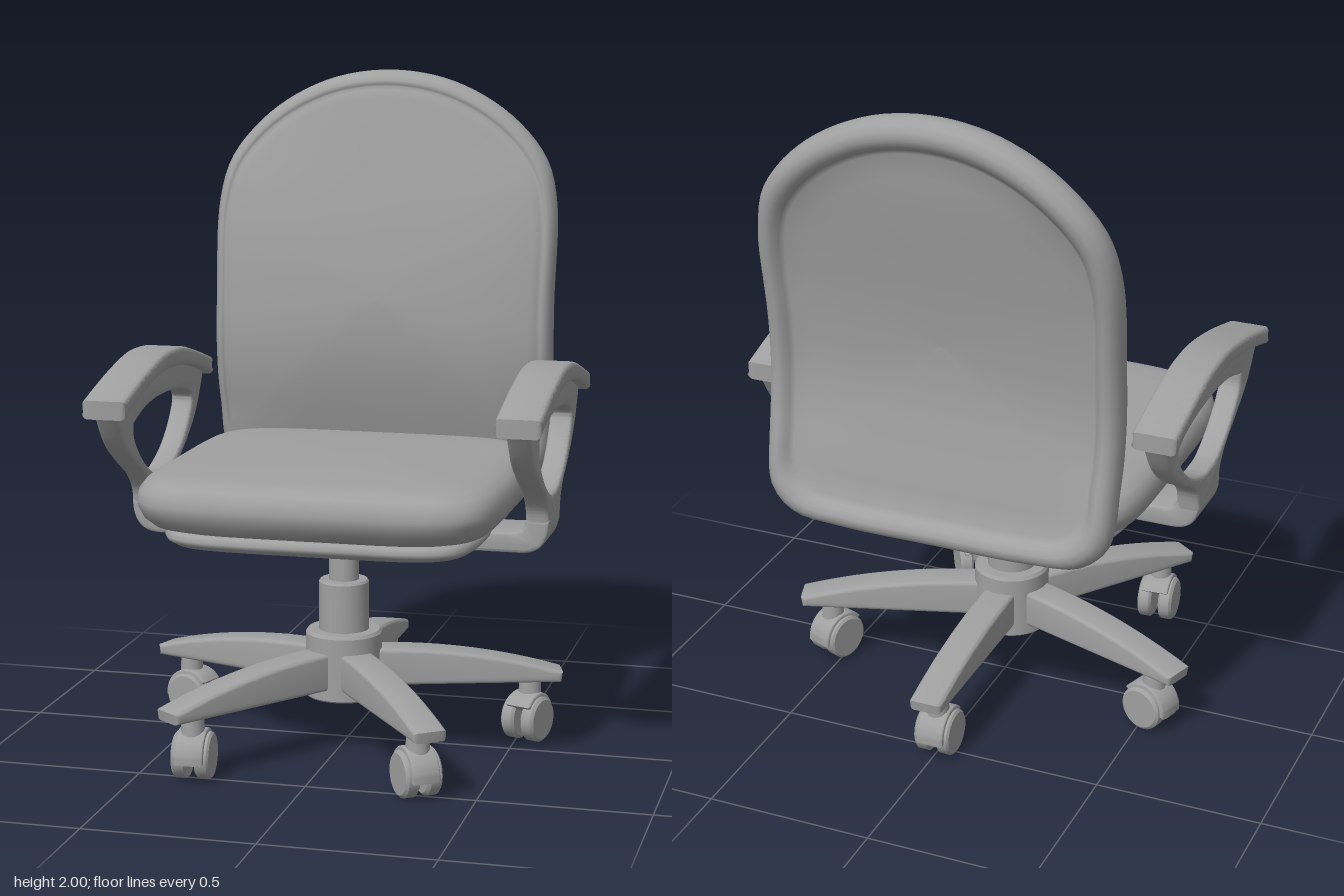
import * as THREE from 'three';
import { toCreasedNormals } from 'three/addons/utils/BufferGeometryUtils.js';

const grey = new THREE.MeshStandardMaterial({ color: 0xa0a0a0 });
grey.name = 'plain grey';

const V2 = (p) => new THREE.Vector2(p[0], p[1]);

function part(name, geometry, parent) {
  const mesh = new THREE.Mesh(geometry, grey);
  mesh.name = name;
  parent.add(mesh);
  return mesh;
}

// Closed pad: scaled copies of an outline stacked along z, rows are [scale, z], back to front
function padGeometry(outline, rows, cy = 0, bend = () => 0) {
  const n = outline.length, pos = [], idx = [];
  for (const [s, z] of rows) {
    for (const p of outline) {
      const y = cy + (p.y - cy) * s;
      pos.push(p.x * s, y, z + bend(y));
    }
  }
  for (let i = 0; i < rows.length - 1; i++) {
    for (let j = 0; j < n; j++) {
      const a = i * n + j, b = i * n + (j + 1) % n;
      idx.push(a, b, b + n, a, b + n, a + n);
    }
  }
  const g = new THREE.BufferGeometry();
  g.setAttribute('position', new THREE.Float32BufferAttribute(pos, 3));
  g.setIndex(idx);
  g.computeVertexNormals();
  return g;
}

// Rounded square outline
function superellipse(rx, ry, power, n = 96) {
  return Array.from({ length: n }, (_, i) => {
    const t = (i / n) * Math.PI * 2, c = Math.cos(t), s = Math.sin(t);
    return new THREE.Vector2(
      rx * Math.sign(c) * Math.abs(c) ** (2 / power),
      ry * Math.sign(s) * Math.abs(s) ** (2 / power));
  });
}

// Extrusion centred on z = 0 with a small rounded edge inside the given outline
function slab(shape, depth, bevel) {
  const g = new THREE.ExtrudeGeometry(shape, {
    depth: depth - 2 * bevel, bevelEnabled: true, bevelThickness: bevel,
    bevelSize: bevel, bevelOffset: -bevel, bevelSegments: 3, curveSegments: 16,
  });
  g.translate(0, 0, bevel - depth / 2);
  return toCreasedNormals(g, 0.6);
}

function buildSeat(chair) {
  const cushion = padGeometry(superellipse(0.535, 0.513, 5.5), [
    [0.001, 0.718], [0.5, 0.718], [0.84, 0.722], [0.92, 0.735], [0.97, 0.76], [0.995, 0.79],
    [1, 0.81], [0.99, 0.838], [0.96, 0.86], [0.91, 0.875], [0.82, 0.884], [0.6, 0.891],
    [0.3, 0.894], [0.001, 0.895]]);
  cushion.rotateX(-Math.PI / 2).translate(0, 0, 0.062);
  part('seatCushion', cushion, chair);

  const pan = padGeometry(superellipse(0.465, 0.44, 5.5), [
    [0.001, 0.664], [0.86, 0.666], [0.95, 0.675], [0.99, 0.688], [1, 0.7],
    [0.985, 0.715], [0.94, 0.73], [0.001, 0.73]]);
  pan.rotateX(-Math.PI / 2).translate(0, 0, 0.065);
  part('seatPan', pan, chair);
}

function buildBackrest(chair) {
  const half = [[0.3, 0.704], [0.45, 0.722], [0.522, 0.79], [0.538, 0.95], [0.54, 1.3],
    [0.538, 1.6], [0.5, 1.735], [0.38, 1.87], [0.2, 1.968]];
  const loop = [[0, 0.702], ...half, [0, 2], ...half.map(([x, y]) => [-x, y]).reverse()];
  const outline = new THREE.CatmullRomCurve3(
    loop.map(([x, y]) => new THREE.Vector3(x, y, 0)), true).getSpacedPoints(120).slice(0, 120);

  // S-shaped side profile: z of the pad's middle at height y
  const spine = new THREE.SplineCurve([[0.7, -0.505], [0.9, -0.478], [1.05, -0.447], [1.2, -0.436],
    [1.4, -0.453], [1.6, -0.486], [1.8, -0.522], [2, -0.535]].map(V2)).getPoints(140);
  const bend = (y) => {
    let i = 1;
    while (i < spine.length - 1 && spine[i].x < y) i++;
    const a = spine[i - 1], b = spine[i];
    return a.y + (b.y - a.y) * THREE.MathUtils.clamp((y - a.x) / (b.x - a.x), 0, 1);
  };

  // Recessed rear panel, rolled rim, then the bulging front panel
  part('backrest', padGeometry(outline, [
    [0.001, -0.02], [0.2, -0.02], [0.4, -0.02], [0.6, -0.02], [0.75, -0.02], [0.85, -0.022],
    [0.872, -0.035], [0.89, -0.05], [0.92, -0.059], [0.95, -0.056], [0.977, -0.043],
    [0.994, -0.023], [1, 0], [0.994, 0.023], [0.977, 0.043], [0.955, 0.053], [0.938, 0.052],
    [0.93, 0.046], [0.915, 0.054], [0.88, 0.062], [0.75, 0.077], [0.6, 0.088],
    [0.4, 0.096], [0.2, 0.1], [0.001, 0.101]], 1.3, bend), chair);
}

function buildArms(chair) {
  // Side outline of the arm loop, drawn as (z, y)
  const loop = new THREE.Shape();
  loop.moveTo(0.14, 0.71);
  loop.splineThru([[0.15, 0.77], [0.2, 0.825], [0.3, 0.885], [0.39, 0.95], [0.46, 1.04]].map(V2));
  loop.lineTo(0.46, 1.08);
  loop.splineThru([[0.3, 1.125], [0.05, 1.16], [-0.15, 1.145], [-0.355, 1.09]].map(V2));
  loop.lineTo(-0.355, 1.04);
  loop.splineThru([[-0.29, 0.945], [-0.2, 0.87], [-0.1, 0.81], [-0.06, 0.77], [-0.045, 0.71]].map(V2));
  const hole = new THREE.Path();
  hole.moveTo(0.31, 1.0);
  hole.splineThru([[0.2, 1.032], [0.05, 1.045], [-0.12, 1.035], [-0.235, 1.0], [-0.215, 0.94],
    [-0.13, 0.865], [-0.02, 0.817], [0.05, 0.81], [0.12, 0.82], [0.22, 0.875], [0.3, 0.95],
    [0.31, 1.0]].map(V2));
  loop.holes.push(hole);
  const loopGeometry = slab(loop, 0.07, 0.012).rotateY(-Math.PI / 2);

  // Arched pad on top of the loop
  const pad = new THREE.Shape();
  pad.moveTo(0.475, 1.04);
  pad.lineTo(0.477, 1.095);
  pad.splineThru([[0.3, 1.142], [0.14, 1.174], [0.03, 1.182], [-0.1, 1.172], [-0.25, 1.135],
    [-0.372, 1.1]].map(V2));
  pad.lineTo(-0.37, 1.045);
  pad.splineThru([[-0.25, 1.085], [-0.1, 1.115], [0.03, 1.125], [0.14, 1.12], [0.3, 1.09],
    [0.475, 1.04]].map(V2));
  const padGeo = slab(pad, 0.132, 0.015).rotateY(-Math.PI / 2);

  for (const [side, label] of [[1, 'left'], [-1, 'right']]) {
    part(label + 'ArmLoop', loopGeometry, chair).position.x = side * 0.6;
    part(label + 'ArmPad', padGeo, chair).position.x = side * 0.602;
  }

  // U-shaped yoke joining both arms under the seat
  const yoke = new THREE.Shape();
  yoke.moveTo(-0.55, 0.64);
  yoke.lineTo(0.55, 0.64);
  yoke.quadraticCurveTo(0.635, 0.64, 0.635, 0.74);
  yoke.lineTo(0.565, 0.74);
  yoke.quadraticCurveTo(0.562, 0.7, 0.52, 0.7);
  yoke.lineTo(-0.52, 0.7);
  yoke.quadraticCurveTo(-0.562, 0.7, -0.565, 0.74);
  yoke.lineTo(-0.635, 0.74);
  yoke.quadraticCurveTo(-0.635, 0.64, -0.55, 0.64);
  part('armYoke', slab(yoke, 0.188, 0.01), chair).position.z = 0.049;
}

function buildCaster(yaw) {
  const caster = new THREE.Group();
  caster.name = 'caster';
  const stem = new THREE.CylinderGeometry(0.032, 0.036, 0.08, 20);
  part('casterStem', stem, caster).position.y = 0.165;

  // Rolling gear, axle along x
  const gear = new THREE.Group();
  gear.name = 'casterGear';
  gear.rotation.y = yaw;
  caster.add(gear);
  const w = [[0, -0.022], [0.062, -0.022], [0.069, -0.016], [0.069, 0.014], [0.06, 0.022], [0, 0.022]];
  const wheel = toCreasedNormals(new THREE.LatheGeometry(w.map(V2), 32), 0.7).rotateZ(-Math.PI / 2);
  for (const s of [-1, 1]) part('casterWheel', wheel, gear).position.set(s * 0.034, 0.074, 0.012);

  // Curved hood over the wheels
  const hood = new THREE.Shape();
  hood.absarc(0, 0, 0.08, -0.15, 2.5, false);
  hood.absarc(0, 0, 0.05, 2.5, -0.15, true);
  part('casterHood', slab(hood, 0.085, 0.006).rotateY(Math.PI / 2), gear).position.set(0, 0.074, 0.012);
  return caster;
}

function buildBase(chair) {
  const base = new THREE.Group();
  base.name = 'base';
  base.position.z = 0.052;
  chair.add(base);

  // Stepped gas column and hub
  const profile = [[0, 0.155], [0.11, 0.155], [0.115, 0.16], [0.115, 0.35], [0.108, 0.36], [0.075, 0.36],
    [0.075, 0.505], [0.07, 0.512], [0.045, 0.512], [0.045, 0.69], [0, 0.69]];
  part('column', toCreasedNormals(new THREE.LatheGeometry(profile.map(V2), 40), 0.6), base);

  // Five legs, the first pointing straight back
  const leg = new THREE.Shape();
  leg.moveTo(0.02, 0.19);
  leg.lineTo(0.655, 0.19);
  leg.lineTo(0.66, 0.222);
  leg.quadraticCurveTo(0.4, 0.3, 0.12, 0.303);
  leg.lineTo(0.02, 0.303);
  const legGeometry = slab(leg, 0.1, 0.012).rotateY(Math.PI / 2);
  const swivel = [0, 0.9, 0, 0.7, 0]; // caster turn relative to its leg
  for (let i = 0; i < 5; i++) {
    const arm = new THREE.Group();
    arm.name = 'starLeg';
    arm.rotation.y = -(i * Math.PI * 2) / 5;
    base.add(arm);
    part('legBeam', legGeometry, arm);
    const caster = buildCaster(swivel[i]);
    caster.position.z = -0.565;
    arm.add(caster);
  }
}

export function createModel() {
  const chair = new THREE.Group();
  chair.name = 'officeChair';
  buildSeat(chair);
  buildBackrest(chair);
  buildArms(chair);
  buildBase(chair);
  return chair;
}
